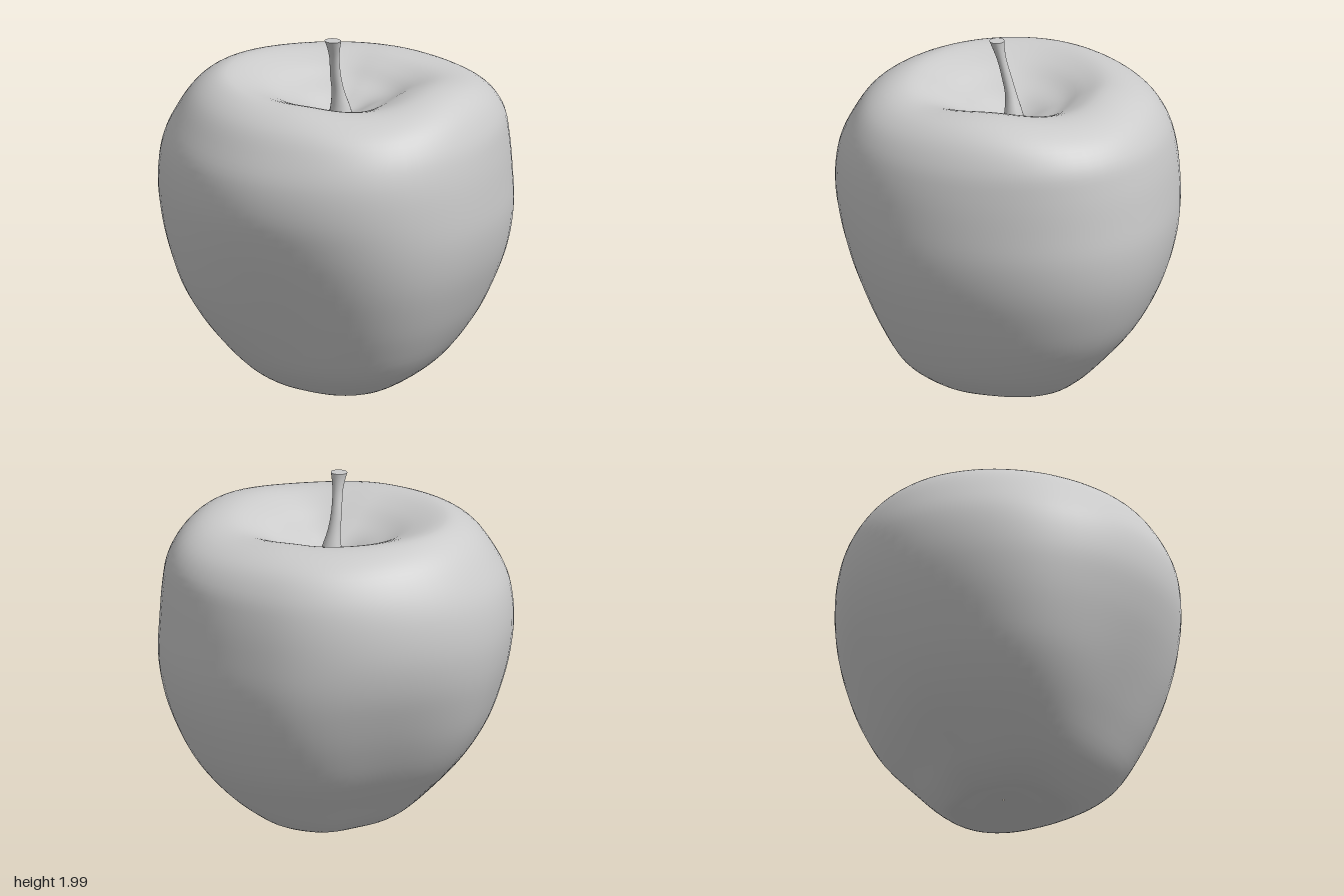
import * as THREE from 'three';

const material = new THREE.MeshStandardMaterial({ color: 0xcccccc });
const { smoothstep, lerp } = THREE.MathUtils;

// Skin closed rings (listed from bottom to top) into one smooth mesh.
function loft(name, rings) {
  const n = rings[0].length;
  const index = [];
  for (let i = 0; i < rings.length - 1; i++) {
    for (let j = 0; j < n; j++) {
      const k = (j + 1) % n;
      const a = i * n + j, b = i * n + k, c = a + n, d = b + n;
      index.push(a, c, b, b, c, d);
    }
  }
  const geometry = new THREE.BufferGeometry().setFromPoints(rings.flat());
  geometry.setIndex(index);
  geometry.computeVertexNormals();
  const mesh = new THREE.Mesh(geometry, material);
  mesh.name = name;
  return mesh;
}

// Fruit profile, from the base dimple to the stem hollow:
// height, then radius towards +x, +z, -x, -z.
const PROFILE = [
  [0.04, 0.004, 0.004, 0.004, 0.004],
  [0.034, 0.13, 0.13, 0.12, 0.13],
  [0.018, 0.25, 0.23, 0.18, 0.25],
  [0.014, 0.35, 0.31, 0.25, 0.34],
  [0.08, 0.48, 0.43, 0.38, 0.44],
  [0.20, 0.63, 0.555, 0.51, 0.56],
  [0.40, 0.77, 0.67, 0.695, 0.74],
  [0.60, 0.865, 0.765, 0.82, 0.85],
  [0.80, 0.935, 0.85, 0.90, 0.92],
  [1.00, 0.97, 0.92, 0.955, 0.955],
  [1.20, 0.97, 0.96, 0.975, 0.955],
  [1.40, 0.955, 0.94, 0.95, 0.935],
  [1.55, 0.925, 0.87, 0.885, 0.895],
  [1.68, 0.85, 0.78, 0.79, 0.81],
  [1.75, 0.75, 0.67, 0.69, 0.69],
  [1.77, 0.60, 0.55, 0.60, 0.54],
  [1.725, 0.43, 0.41, 0.43, 0.41],
  [1.66, 0.30, 0.29, 0.30, 0.30],
  [1.615, 0.19, 0.19, 0.19, 0.19],
  [1.57, 0.10, 0.10, 0.10, 0.10],
  [1.53, 0.004, 0.004, 0.004, 0.004],
];

// Swelling of each diagonal, [low, high], starting between +x and +z.
const SWELL = [[0.09, 0.035], [0.10, 0.0], [-0.12, -0.03], [0.055, 0.05]];

// Smooth radius around the axis through the four measured directions.
function radiusAt([y, px, pz, nx, nz], t) {
  const r = (px + pz + nx + nz) / 4
    + (px - nx) / 2 * Math.cos(t)
    + (pz - nz) / 2 * Math.sin(t)
    + (px + nx - pz - nz) / 4 * Math.cos(2 * t);
  const [low, high] = SWELL[Math.floor(t / (Math.PI / 2))];
  return r * (1 + lerp(low, high, smoothstep(y, 0.4, 1.3)) * Math.sin(2 * t) ** 2);
}

function createFruit() {
  const sides = 72, rows = 84;
  const rings = Array.from({ length: rows + 1 }, () => []);
  for (let j = 0; j < sides; j++) {
    const t = j / sides * Math.PI * 2;
    const meridian = new THREE.CatmullRomCurve3(PROFILE.map((row) =>
      new THREE.Vector3(radiusAt(row, t), row[0], 0)));
    // the rim undulates and dips on the two +x diagonals
    const dip = Math.cos(t) > 0 ? 0.03 * Math.sin(2 * t) ** 2 : 0;
    const wave = 0.007 * Math.cos(2 * t) - dip;
    for (let i = 0; i <= rows; i++) {
      const p = meridian.getPoint(i / rows);
      // the hollow sits slightly off centre
      const hollow = p.y > 1 ? 1 - smoothstep(p.x, 0.05, 0.6) : 0;
      const rim = wave * smoothstep(p.y, 1.5, 1.76);
      rings[i].push(new THREE.Vector3(
        p.x * Math.cos(t) + 0.03 * hollow,
        p.y + rim,
        p.x * Math.sin(t) - 0.03 * hollow));
    }
  }
  return loft('fruit', rings);
}

// Stem sections: height, centre x, centre z, radius.
const STEM = [
  [1.50, 0.03, -0.03, 0.078],
  [1.58, 0.03, -0.03, 0.058],
  [1.68, 0.022, -0.015, 0.037],
  [1.78, 0.018, 0.010, 0.031],
  [1.89, 0.024, 0.038, 0.029],
  [1.96, 0.027, 0.056, 0.038],
  [2.00, 0.027, 0.065, 0.047],
];

function createStem() {
  const sides = 20, rows = 24;
  const vec = ([y, x, z]) => new THREE.Vector3(x, y, z);
  const axis = new THREE.CatmullRomCurve3(STEM.map(vec));
  const girth = new THREE.CatmullRomCurve3(STEM.map((s) => new THREE.Vector3(s[3], s[0], 0)));
  // sections are a little narrower front to back
  const ring = (c, r) => Array.from({ length: sides }, (_, j) => {
    const t = j / sides * Math.PI * 2;
    return new THREE.Vector3(c.x + r * Math.cos(t), c.y, c.z + 0.9 * r * Math.sin(t));
  });
  const rings = [];
  for (let i = 0; i <= rows; i++) {
    rings.push(ring(axis.getPoint(i / rows), girth.getPoint(i / rows).x));
  }
  // repeated ring keeps the edge of the cut end crisp
  const tip = vec(STEM.at(-1));
  rings.push(ring(tip, STEM.at(-1)[3]), ring(tip, 0.0005));
  return loft('stem', rings);
}

export function createModel() {
  const group = new THREE.Group();
  group.name = 'apple';
  group.add(createFruit(), createStem());
  return group;
}
